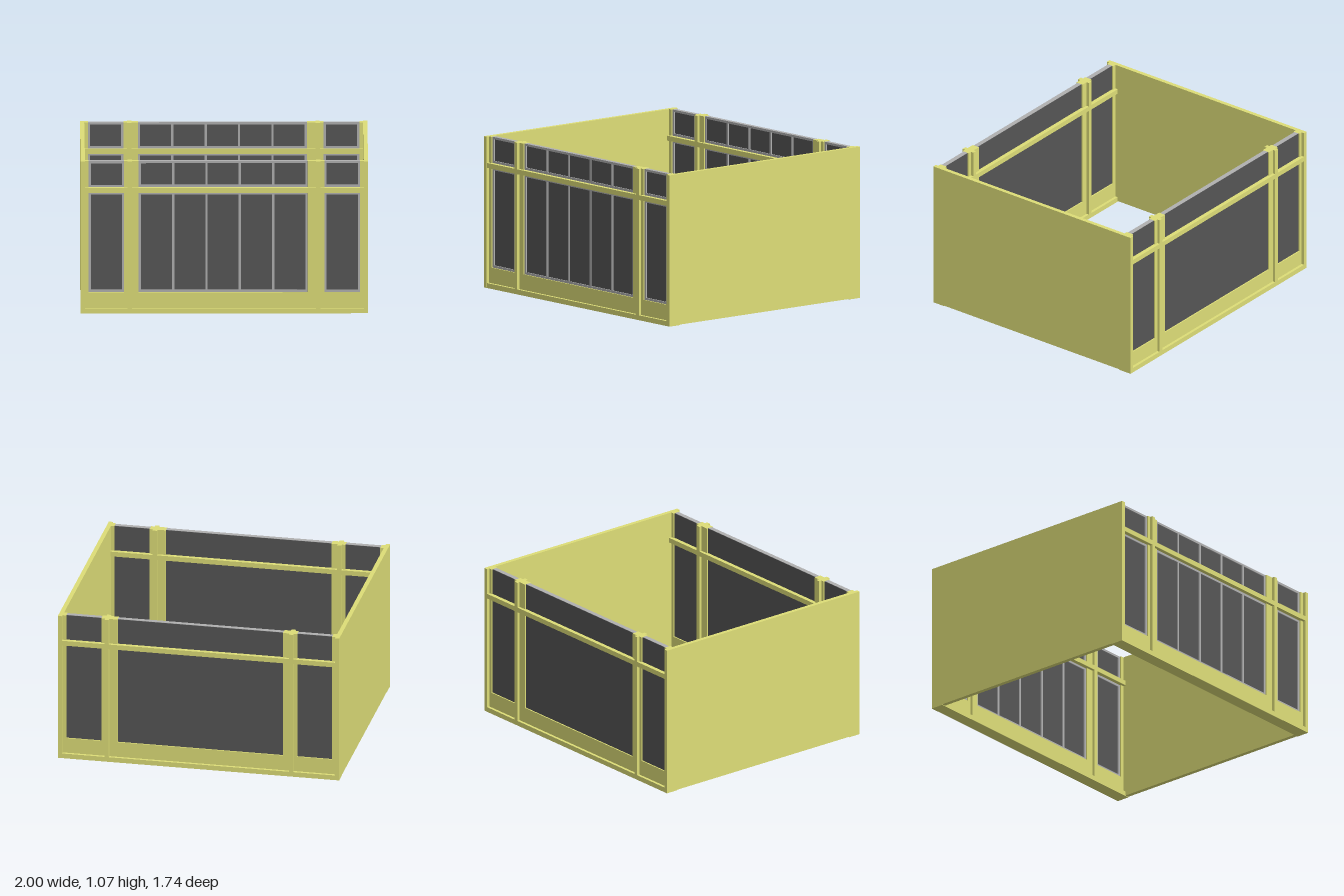
import * as THREE from 'three';

const yellow = new THREE.MeshStandardMaterial({ color: 0xdddd77 });
const grey = new THREE.MeshStandardMaterial({ color: 0xb0b0b0 });
const dark = new THREE.MeshStandardMaterial({ color: 0x555555 });

const HEIGHT = 1.07, SILL = 0.035, DADO = 0.145, RAIL = 0.85, RAIL_TOP = 0.885;
const INNER = 0.97; // inner face of the side walls

// Box given by its lower and upper limits on each axis
function box(parent, name, material, [x0, x1], [y0, y1], [z0, z1]) {
  const mesh = new THREE.Mesh(new THREE.BoxGeometry(x1 - x0, y1 - y0, z1 - z0), material);
  mesh.position.set((x0 + x1) / 2, (y0 + y1) / 2, (z0 + z1) / 2);
  mesh.name = name;
  parent.add(mesh);
  return mesh;
}

// Framed window: bars on the front, a plain pane over the whole back
function windowUnit(x0, x1, y0, y1, panes) {
  const unit = new THREE.Group();
  unit.name = 'window';
  const bar = 0.016, back = -0.0175, front = 0.0175, plate = back + 0.002;
  const depth = [plate, front];
  box(unit, 'backPane', dark, [x0, x1], [y0, y1 - 0.002], [back, plate]);
  box(unit, 'glass', dark, [x0 + bar, x1 - bar], [y0 + bar, y1 - bar], [plate, 0.009]);
  box(unit, 'bottomBar', grey, [x0, x1], [y0, y0 + bar], depth);
  box(unit, 'topBar', grey, [x0, x1], [y1 - bar, y1], depth);
  const span = x1 - x0 - bar;
  for (let i = 0; i <= panes; i++) {
    const x = x0 + (span * i) / panes;
    box(unit, 'mullion', grey, [x, x + bar], [y0 + bar, y1 - bar], depth);
  }
  return unit;
}

// Glazed wall across the full width, centred on its own z = 0
function glazedWall() {
  const wall = new THREE.Group();
  const deep = [-0.0475, 0.0475], core = [-0.027, 0.027];

  box(wall, 'sill', yellow, [-1, 1], [0, SILL], deep);
  box(wall, 'lowerPanel', yellow, [-INNER, INNER], [SILL, DADO], core);
  box(wall, 'crossRail', yellow, [-1, 1], [RAIL, RAIL_TOP], deep);

  // Posts: a broad core with a narrow fin standing out on both sides
  const cores = [[-INNER, -0.945], [-0.697, -0.597], [0.58, 0.695], [0.945, INNER]];
  const fins = [[-1, -INNER], [-0.673, -0.642], [0.638, 0.669], [INNER, 1]];
  for (const [low, high] of [[SILL, RAIL], [RAIL_TOP, HEIGHT]]) {
    for (const x of cores) box(wall, 'postCore', yellow, x, [Math.max(low, DADO), high], core);
    for (const x of fins) box(wall, 'postFin', yellow, x, [low, high], deep);
  }

  // Windows below and above the cross rail
  for (const [low, high] of [[DADO, RAIL], [RAIL_TOP, HEIGHT]]) {
    wall.add(windowUnit(-0.945, -0.697, low, high, 1));
    wall.add(windowUnit(-0.597, 0.58, low, high, 5));
    wall.add(windowUnit(0.695, 0.945, low, high, 1));
  }
  return wall;
}

export function createModel() {
  const model = new THREE.Group();
  model.name = 'glazedEnclosure';

  // Solid side walls between the glazed ones
  box(model, 'leftWall', yellow, [INNER, 1], [0.004, HEIGHT], [-0.87, 0.867]);
  box(model, 'rightWall', yellow, [-1, -INNER], [0.004, HEIGHT], [-0.87, 0.867]);

  // Both glazed walls face the same way
  for (const [name, z] of [['frontGlazing', 0.8185], ['backGlazing', -0.8225]]) {
    const wall = glazedWall();
    wall.name = name;
    wall.position.z = z;
    model.add(wall);
  }
  return model;
}
